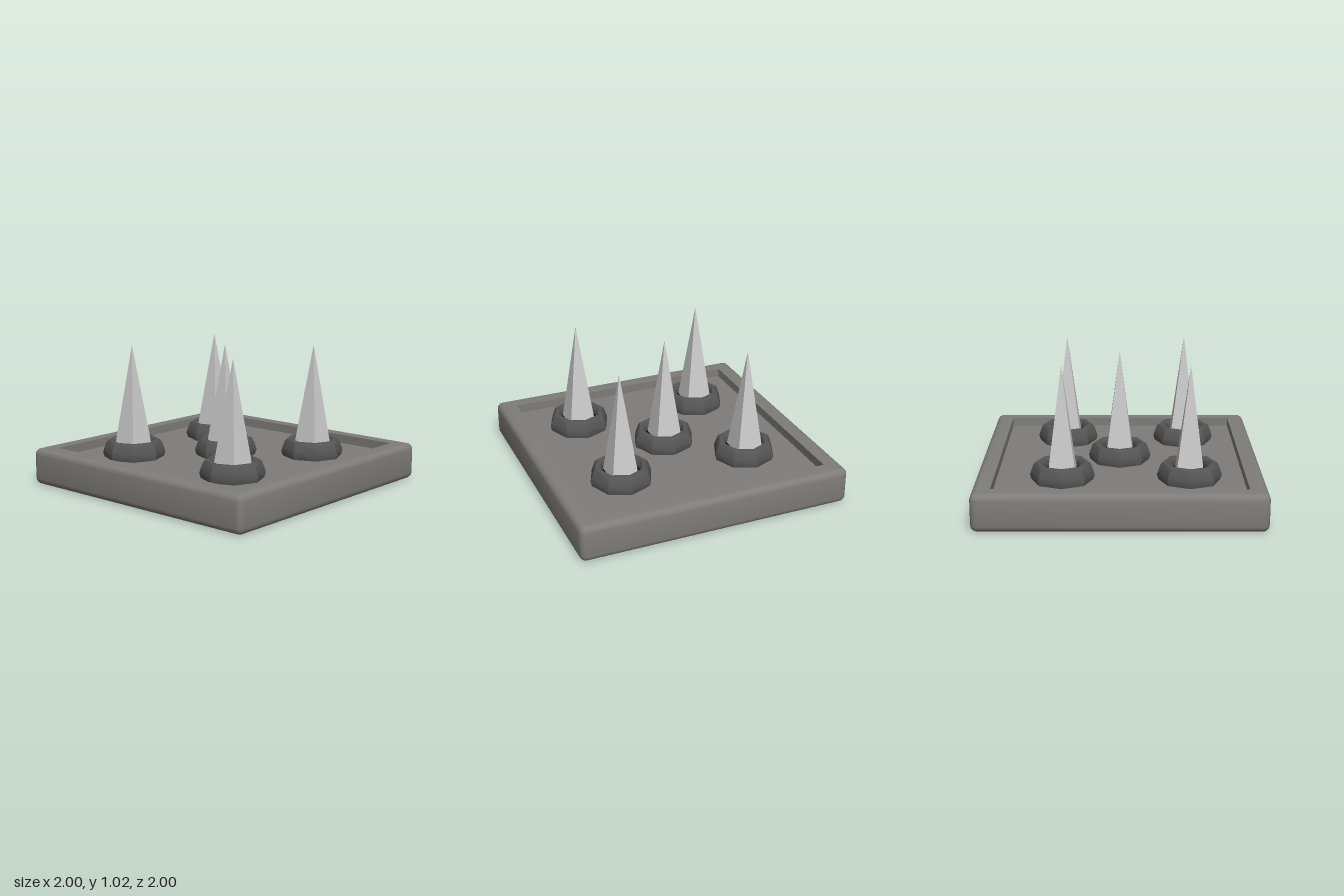
import * as THREE from 'three';
import { toCreasedNormals } from 'three/addons/utils/BufferGeometryUtils.js';

const paint = (color) => new THREE.MeshStandardMaterial({ color });
const stone = paint(0x7f7d7a);
const iron = paint(0x555555);
const pit = paint(0x0c0c0c);
const steel = paint(0xcccccc);

const STEPS = 4; // segments per rounded corner

// Rounded square contour at height y, seen counter-clockwise from below
function contour(half, radius, y) {
  const points = [];
  for (let corner = 0; corner < 4; corner++) {
    const start = corner * Math.PI / 2;
    const mid = start + Math.PI / 4;
    const cx = Math.sign(Math.cos(mid)) * (half - radius);
    const cz = Math.sign(Math.sin(mid)) * (half - radius);
    for (let i = 0; i <= STEPS; i++) {
      const a = start + (i / STEPS) * Math.PI / 2;
      points.push([cx + radius * Math.cos(a), y, cz + radius * Math.sin(a)]);
    }
  }
  return points;
}

// Skin neighbouring contours, skipping collapsed triangles
function skin(loops) {
  const positions = [];
  const same = (p, q) => Math.hypot(p[0] - q[0], p[1] - q[1], p[2] - q[2]) < 1e-6;
  const tri = (a, b, c) => {
    if (!same(a, b) && !same(b, c) && !same(c, a)) positions.push(...a, ...b, ...c);
  };
  for (let k = 0; k < loops.length - 1; k++) {
    const low = loops[k], high = loops[k + 1], n = low.length;
    for (let i = 0; i < n; i++) {
      const j = (i + 1) % n;
      tri(low[i], high[i], high[j]);
      tri(low[i], high[j], low[j]);
    }
  }
  const geometry = new THREE.BufferGeometry();
  geometry.setAttribute('position', new THREE.Float32BufferAttribute(positions, 3));
  return toCreasedNormals(geometry, 0.6);
}

// Slab with rounded edges and a sunken square floor
function createBase() {
  const height = 0.265, round = 0.045, floor = 0.2;
  const loops = [contour(0, 0, 0)];
  for (let i = 0; i <= STEPS; i++) {
    const a = (i / STEPS) * Math.PI / 2;
    const r = round * Math.sin(a);
    loops.push(contour(1 - round + r, r, round * (1 - Math.cos(a))));
  }
  for (let i = 0; i <= STEPS; i++) {
    const a = (i / STEPS) * Math.PI / 2;
    const r = round * Math.cos(a);
    loops.push(contour(1 - round + r, r, height - round * (1 - Math.sin(a))));
  }
  loops.push(contour(0.87, 0.004, height), contour(0.87, 0.004, floor), contour(0, 0, floor));
  const base = new THREE.Mesh(skin(loops), stone);
  base.name = 'base';
  return base;
}

// Eight-sided collar around each spike
const collarProfile = [
  [0.215, 0.19], [0.228, 0.235], [0.217, 0.27], [0.202, 0.31], [0.188, 0.325],
  [0.16, 0.325], [0.147, 0.312], [0.14, 0.28], [0.14, 0.19],
].map(([x, y]) => new THREE.Vector2(x, y));
const collarGeometry = toCreasedNormals(new THREE.LatheGeometry(collarProfile, 8), 0.7);

// Dark plug filling the collar
const plugGeometry = new THREE.CylinderGeometry(0.142, 0.142, 0.06, 8);

// Four-sided spike, square to the base
const spikeGeometry = new THREE.ConeGeometry(0.098 * Math.SQRT2, 0.77, 4)
  .rotateY(Math.PI / 4).toNonIndexed();
spikeGeometry.computeVertexNormals();

function createSpike(x, z) {
  const group = new THREE.Group();
  group.name = 'spikeUnit';
  const add = (name, geometry, material, px, py) => {
    const mesh = new THREE.Mesh(geometry, material);
    mesh.name = name;
    mesh.position.set(px, py, 0);
    group.add(mesh);
  };
  add('collar', collarGeometry, iron, 0, 0);
  add('hole', plugGeometry, pit, 0, 0.235);
  add('spike', spikeGeometry, steel, x < 0.1 ? -0.008 : 0.002, 0.25 + 0.385);
  group.position.set(x, 0, z);
  return group;
}

export function createModel() {
  const model = new THREE.Group();
  model.name = 'spikeTrap';
  model.add(createBase());
  for (const x of [-0.468, 0.49]) {
    for (const z of [-0.405, 0.487]) model.add(createSpike(x, z));
  }
  model.add(createSpike(-0.003, -0.003));
  return model;
}
